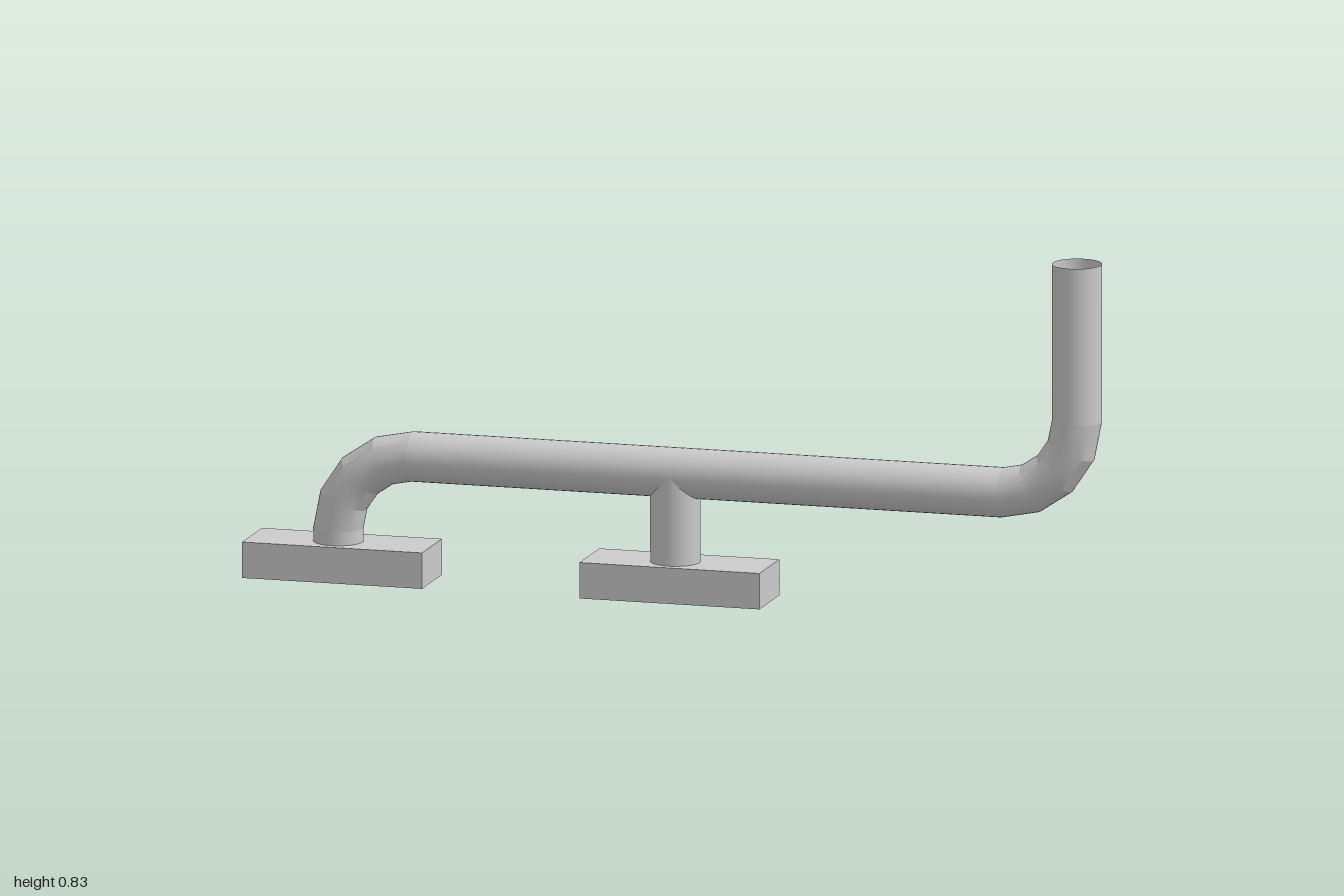
import * as THREE from 'three';
import { toCreasedNormals } from 'three/addons/utils/BufferGeometryUtils.js';

const R = 0.057;      // pipe radius
const BEND = 0.175;   // elbow centreline radius
const AXIS_Y = 0.288; // height of the horizontal run
const PIPE_Z = 0.005;
const BASE_H = 0.083;
const SIDES = 32;

export function createModel() {
  const group = new THREE.Group();
  const solid = new THREE.MeshStandardMaterial({ color: 0xcccccc });
  const open = new THREE.MeshStandardMaterial({ color: 0xcccccc, side: THREE.DoubleSide });

  function add(name, geometry, material, x, y, z) {
    const mesh = new THREE.Mesh(geometry, material);
    mesh.name = name;
    mesh.position.set(x, y, z);
    group.add(mesh);
    return mesh;
  }

  const tube = (length) => new THREE.CylinderGeometry(R, R, length, SIDES, 1, true);

  function horizontalPipe(name, x0, x1) {
    add(name, tube(x1 - x0).rotateZ(Math.PI / 2), open, (x0 + x1) / 2, AXIS_Y, PIPE_Z);
  }

  function verticalPipe(name, x, y0, y1) {
    return add(name, tube(y1 - y0), open, x, (y0 + y1) / 2, PIPE_Z);
  }

  // Quarter bend made of four mitred segments
  function elbow(name, x, y, turn) {
    const bend = new THREE.TorusGeometry(BEND, R, SIDES, 4, Math.PI / 2).rotateZ(turn);
    add(name, toCreasedNormals(bend, 0.3), open, x, y, PIPE_Z);
  }

  // Support blocks
  for (const [name, x] of [['rightBase', -0.788], ['middleBase', 0.006]]) {
    add(name, new THREE.BoxGeometry(0.424, BASE_H, 0.16), solid, x, BASE_H / 2, 0);
  }

  // Horizontal run, split at the tee joints
  const xBend0 = -0.62, xBend1 = 0.768;
  horizontalPipe('rightPipe', xBend0, -0.13);
  horizontalPipe('teeRun', -0.13, 0.13);
  horizontalPipe('leftPipe', 0.13, xBend1);

  // Elbow down to the right base
  elbow('lowerElbow', xBend0, AXIS_Y - BEND, Math.PI / 2);
  verticalPipe('rightFoot', xBend0 - BEND, BASE_H, AXIS_Y - BEND);

  // Elbow up to the open outlet
  elbow('upperElbow', xBend1, AXIS_Y + BEND, -Math.PI / 2);
  verticalPipe('outletPipe', xBend1 + BEND, AXIS_Y + BEND, 0.826);

  // Tee branch, its top cut to a saddle where it meets the run
  const branch = verticalPipe('teeBranch', -0.002, BASE_H, AXIS_Y);
  const p = branch.geometry.attributes.position;
  for (let i = 0; i < p.count; i++) {
    if (p.getY(i) > 0) p.setY(i, p.getY(i) - Math.abs(p.getX(i)));
  }

  return group;
}
